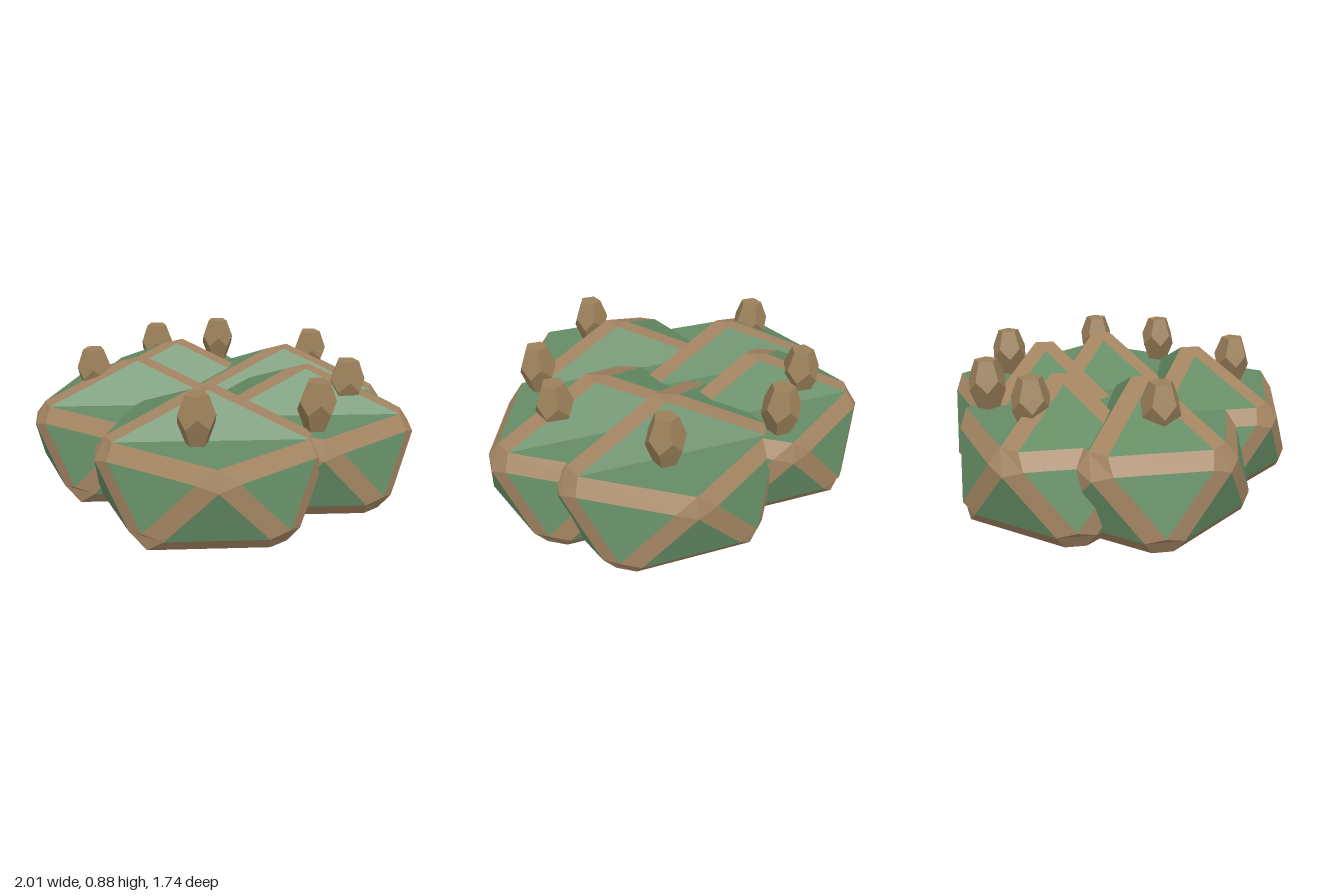
import * as THREE from 'three';

const flat = (color, name) => {
  const m = new THREE.MeshStandardMaterial({ color, flatShading: true });
  m.name = name;
  return m;
};

// Squashed icosahedron standing on a point: apex, two rings of five, bottom
function lobeCorners() {
  const RX = 0.592, RZ = 0.536, H = 0.443, RING = 0.197;
  const ring = (start, y) => Array.from({ length: 5 }, (_, i) => {
    const a = start + (i * Math.PI * 2) / 5;
    return new THREE.Vector3(RX * Math.cos(a), y, RZ * Math.sin(a));
  });
  return [
    new THREE.Vector3(0, H, 0),
    ...ring(0, RING),
    ...ring(Math.PI / 5, -RING),
    new THREE.Vector3(0, -H, 0),
  ];
}

function fromTriangles(points) {
  const g = new THREE.BufferGeometry().setFromPoints(points);
  g.computeVertexNormals();
  return g;
}

// Chamfered lobe: inset green panels joined by tan strips and corner caps
function lobeGeometries() {
  const BEVEL = 0.05;
  const v = lobeCorners();

  // Four-cornered panels are creased inward across their middle
  const faces = [
    [0, 1, 2, 3], [0, 4, 5, 1], [0, 3, 4],
    [11, 6, 7, 8], [11, 8, 9, 10], [11, 10, 6],
  ];
  for (let i = 0; i < 5; i++) {
    const j = (i + 1) % 5;
    faces.push([1 + i, 1 + j, 6 + i], [6 + i, 6 + j, 1 + j]);
  }

  const toward = (a, b) => v[b].clone().sub(v[a]).normalize();
  const inset = (f, k) => {
    const n = f.length, a = f[k];
    // Corners facing each other across the crease slide straight inward
    if (n === 4 && k % 2 === 0) return toward(a, f[(k + 2) % 4]).multiplyScalar(BEVEL * 1.13).add(v[a]);
    const ab = toward(a, f[(k + 1) % n]), ac = toward(a, f[(k + n - 1) % n]);
    const s = BEVEL / Math.sin(ab.angleTo(ac));
    return ab.add(ac).multiplyScalar(s).add(v[a]);
  };

  const panels = [], ribs = [];
  const edges = new Map();
  const caps = v.map(() => []);
  for (const face of faces) {
    const normal = new THREE.Triangle(v[face[0]], v[face[1]], v[face[2]]).getNormal(new THREE.Vector3());
    const f = normal.dot(v[face[0]]) < 0 ? [face[0], ...face.slice(1).reverse()] : face;
    const p = f.map((_, k) => inset(f, k));
    if (f.length === 4) panels.push(p[0], p[1], p[3], p[1], p[2], p[3]);
    else panels.push(...p);

    f.forEach((a, k) => {
      const m = (k + 1) % f.length, b = f[m];
      caps[a].push(p[k]);
      // Strip along the edge shared with a panel already placed
      const other = edges.get(`${b}-${a}`);
      if (other) ribs.push(p[k], other[1], other[0], p[k], other[0], p[m]);
      edges.set(`${a}-${b}`, [p[k], p[m]]);
    });
  }

  // Corner caps, sorted around the outward direction
  caps.forEach((points, i) => {
    const out = v[i].clone().normalize();
    const e1 = new THREE.Vector3(0.3, 0.2, 0.9).cross(out).normalize();
    const e2 = out.clone().cross(e1);
    const angle = (q) => Math.atan2(q.dot(e2), q.dot(e1));
    points.sort((a, b) => angle(a) - angle(b));
    for (let k = 1; k < points.length - 1; k++) ribs.push(points[0], points[k], points[k + 1]);
  });

  return { ribs: fromTriangles(ribs), panels: fromTriangles(panels) };
}

// Stretched dodecahedron resting on a face
function budGeometry() {
  const g = new THREE.DodecahedronGeometry(0.093);
  g.rotateX(-Math.atan2(0.724, 1.171));
  g.rotateY(Math.PI / 2);
  g.scale(1, 1.6, 1);
  g.computeVertexNormals();
  return g;
}

export function createModel() {
  const model = new THREE.Group();
  model.name = 'lobedCactus';
  const green = flat(0x648c64, 'green skin');
  const tan = flat(0xa38462, 'tan rib');
  const brown = flat(0x9a7f59, 'brown bud');

  // Five overlapping lobes
  const { ribs, panels } = lobeGeometries();
  const lobes = [
    ['frontLobe', 0.04, 0.38],
    ['leftLobe', 0.435, -0.045],
    ['backLeftLobe', 0.27, -0.38],
    ['rightLobe', -0.435, 0.025],
    ['backRightLobe', -0.325, -0.34],
  ];
  for (const [name, x, z] of lobes) {
    const lobe = new THREE.Group();
    lobe.name = name;
    const ribMesh = new THREE.Mesh(ribs, tan);
    ribMesh.name = 'ribs';
    const panelMesh = new THREE.Mesh(panels, green);
    panelMesh.name = 'skinPanels';
    lobe.add(ribMesh, panelMesh);
    lobe.position.set(x, 0.42, z);
    model.add(lobe);
  }

  // Buds on top
  const bud = budGeometry();
  const spots = [
    [-0.66, 0.065], [-0.495, -0.495], [-0.175, -0.69], [0.4, -0.57],
    [0.655, -0.045], [0.55, 0.31], [0.05, 0.61],
  ];
  spots.forEach(([x, z], i) => {
    const mesh = new THREE.Mesh(bud, brown);
    mesh.name = `bud${i + 1}`;
    mesh.position.set(x, 0.767, z);
    model.add(mesh);
  });
  return model;
}
